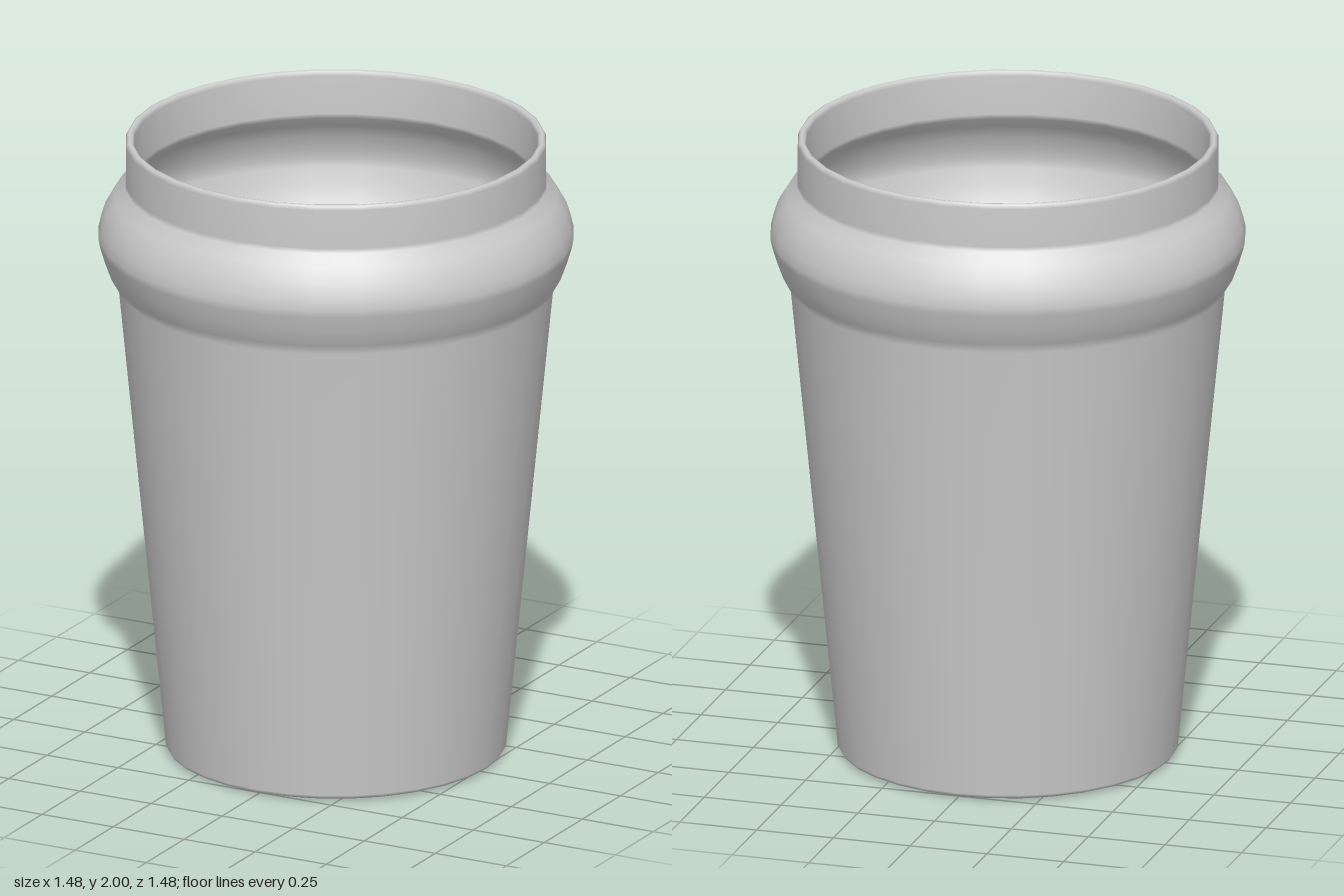
import * as THREE from 'three';

const SEGMENTS = 32;
const WALL = 0.03;

export function createModel() {
  const group = new THREE.Group();
  group.name = 'cup';
  const material = new THREE.MeshStandardMaterial({ color: 0xcccccc });

  // Outer side as [radius, height]: tapered body, bulging collar, straight neck
  const side = [
    [0.53, 0.02], [0.677, 1.52], [0.70, 1.555], [0.72, 1.61], [0.735, 1.66], [0.74, 1.685],
    [0.732, 1.72], [0.718, 1.765], [0.69, 1.81], [0.656, 1.845], [0.655, 1.86],
  ];

  // Closed profile: underside, outer side, rounded rim, inner side, floor
  const profile = [
    [0, 0], [0.49, 0], [0.505, 0.002], [0.525, 0.01],
    ...side,
    [0.655, 1.985], [0.65, 1.997], [0.643, 2], [0.633, 1.997], [0.627, 1.985],
    ...side.slice(1).reverse().map(([r, y]) => [r - WALL, y]),
    [0.503, 0.04], [0, 0.03],
  ].map(([r, y]) => new THREE.Vector2(r, y));

  const cup = new THREE.Mesh(new THREE.LatheGeometry(profile, SEGMENTS), material);
  cup.name = 'cupShell';
  group.add(cup);
  return group;
}
